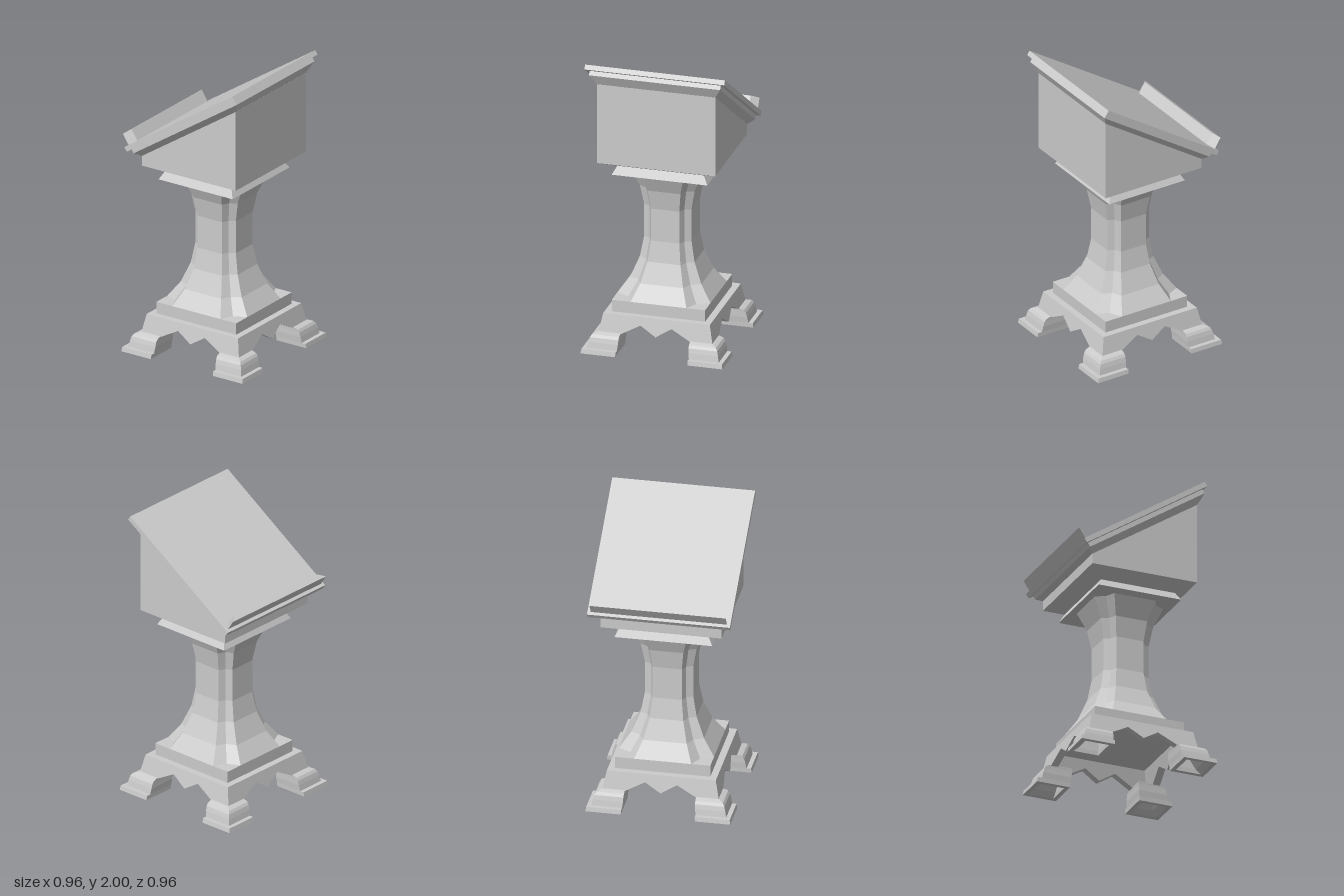
import * as THREE from 'three';

const mat = new THREE.MeshStandardMaterial({ color: 0xcccccc, flatShading: true });

function addMesh(parent, name, geometry) {
  const mesh = new THREE.Mesh(geometry, mat);
  mesh.name = name;
  parent.add(mesh);
  return mesh;
}

// Skin a stack of rings (each counterclockwise from above), capped at both ends
function loft(rings) {
  const pos = [];
  const tri = (...pts) => pts.forEach((p) => pos.push(...p));
  const cap = (ring, up) => {
    const c = [0, 1, 2].map((k) => ring.reduce((s, p) => s + p[k], 0) / ring.length);
    ring.forEach((p, i) => {
      const q = ring[(i + 1) % ring.length];
      if (up) tri(c, p, q); else tri(c, q, p);
    });
  };
  cap(rings[0], false);
  for (let r = 0; r < rings.length - 1; r++) {
    const lo = rings[r], hi = rings[r + 1];
    lo.forEach((a, i) => {
      const j = (i + 1) % lo.length;
      tri(a, lo[j], hi[j]);
      tri(a, hi[j], hi[i]);
    });
  }
  cap(rings[rings.length - 1], true);
  const g = new THREE.BufferGeometry();
  g.setAttribute('position', new THREE.Float32BufferAttribute(pos, 3));
  g.computeVertexNormals();
  return g;
}

// Rectangular ring; heights may differ at the two x ends
const rect = (x0, x1, z0, z1, yLow, yHigh = yLow) =>
  [[x1, yHigh, z1], [x1, yHigh, z0], [x0, yLow, z0], [x0, yLow, z1]];
const centred = (hx, hz, y) => rect(-hx, hx, -hz, hz, y);

// Hollow bracket foot at one corner: recess, rim, plinth, curved neck
function footGeometry() {
  const ring = (inner, outer, y) => rect(inner, outer, inner, outer, y);
  return loft([
    ring(0.27, 0.37, 0.1), ring(0.275, 0.415, 0.03), ring(0.275, 0.45, 0),
    ring(0.245, 0.479, 0), ring(0.243, 0.474, 0.03), ring(0.243, 0.445, 0.03),
    ring(0.238, 0.438, 0.07), ring(0.237, 0.43, 0.1), ring(0.236, 0.418, 0.118),
    ring(0.235, 0.4, 0.125), ring(0.235, 0.385, 0.13),
  ]);
}

// Flared apron panel with a zigzag lower edge and mitred ends
function apronGeometry() {
  const thick = 0.05;
  const half = [[0.385, 0.125], [0.235, 0.125], [0.105, 0.195]];
  const pts = [[-0.36, 0.25], ...half.map(([x, y]) => [-x, y]), [0, 0.13],
    ...half.slice().reverse(), [0.36, 0.25]];
  const shape = new THREE.Shape(pts.map(([x, y]) => new THREE.Vector2(x, y)));
  const g = new THREE.ExtrudeGeometry(shape, { depth: thick, bevelEnabled: false });
  const p = g.attributes.position;
  for (let i = 0; i < p.count; i++) {
    const x = p.getX(i), z = p.getZ(i);
    if (Math.abs(x) > 0.3 && z < thick / 2) p.setX(i, x - Math.sign(x) * thick);
    p.setZ(i, z - thick + 0.36 + (0.25 - p.getY(i)) * 0.2);
  }
  g.computeVertexNormals();
  return g;
}

// Column section: square with a V notch cut into each corner
function columnRing(h, y) {
  const f = h * 0.6, g = h * 0.73, ring = [];
  for (let k = 0; k < 4; k++) {
    const c = [1, 0, -1, 0][k], s = [0, 1, 0, -1][k];
    for (const [x, z] of [[f, h], [g, g], [h, f]]) {
      ring.push([x * c + z * s, y, z * c - x * s]);
    }
  }
  return ring;
}

export function createModel() {
  const model = new THREE.Group();
  model.name = 'lectern';

  // Base: four feet, four aprons, plinth slab
  const base = new THREE.Group();
  base.name = 'base';
  model.add(base);
  const footGeo = footGeometry(), apronGeo = apronGeometry();
  for (let k = 0; k < 4; k++) {
    addMesh(base, 'foot', footGeo).rotation.y = k * Math.PI / 2;
    addMesh(base, 'apron', apronGeo).rotation.y = k * Math.PI / 2;
  }
  addMesh(base, 'plinthSlab', loft([centred(0.315, 0.315, 0.25), centred(0.315, 0.315, 0.33)]));

  // Waisted column
  const profile = [[0.315, 0.33], [0.24, 0.435], [0.185, 0.57], [0.16, 0.71],
    [0.16, 0.935], [0.185, 1.07], [0.242, 1.2]];
  addMesh(model, 'column', loft(profile.map(([h, y]) => columnRing(h, y))));

  // Collar and desk box with a sloping top
  addMesh(model, 'collar', loft([centred(0.292, 0.323, 1.2), centred(0.262, 0.292, 1.255)]));
  addMesh(model, 'deskBox', loft([
    centred(0.262, 0.292, 1.255), centred(0.37, 0.4, 1.305),
    rect(-0.37, 0.37, -0.4, 0.4, 1.375, 1.86),
  ]));

  // Sloping top, built flat and tilted
  const top = new THREE.Group();
  top.name = 'slopingTop';
  top.rotation.z = Math.atan2(0.55, 0.835);
  model.add(top);
  addMesh(top, 'moulding', loft([
    rect(0.447, 1.332, -0.4, 0.4, 1.35),
    rect(0.43, 1.402, -0.443, 0.443, 1.39),
    rect(0.43, 1.402, -0.443, 0.443, 1.42),
  ]));
  addMesh(top, 'readingBoard', loft([
    rect(0.408, 1.428, -0.472, 0.472, 1.42),
    rect(0.408, 1.428, -0.472, 0.472, 1.453),
  ]));

  // Book ledge, its ends cut at a slant
  const ledgeRing = (y) => [[0.47, y, 0.4], [0.47, y, -0.4], [0.43, y, -0.45], [0.43, y, 0.45]];
  addMesh(top, 'bookLedge', loft([ledgeRing(1.45), ledgeRing(1.535)]));

  return model;
}
